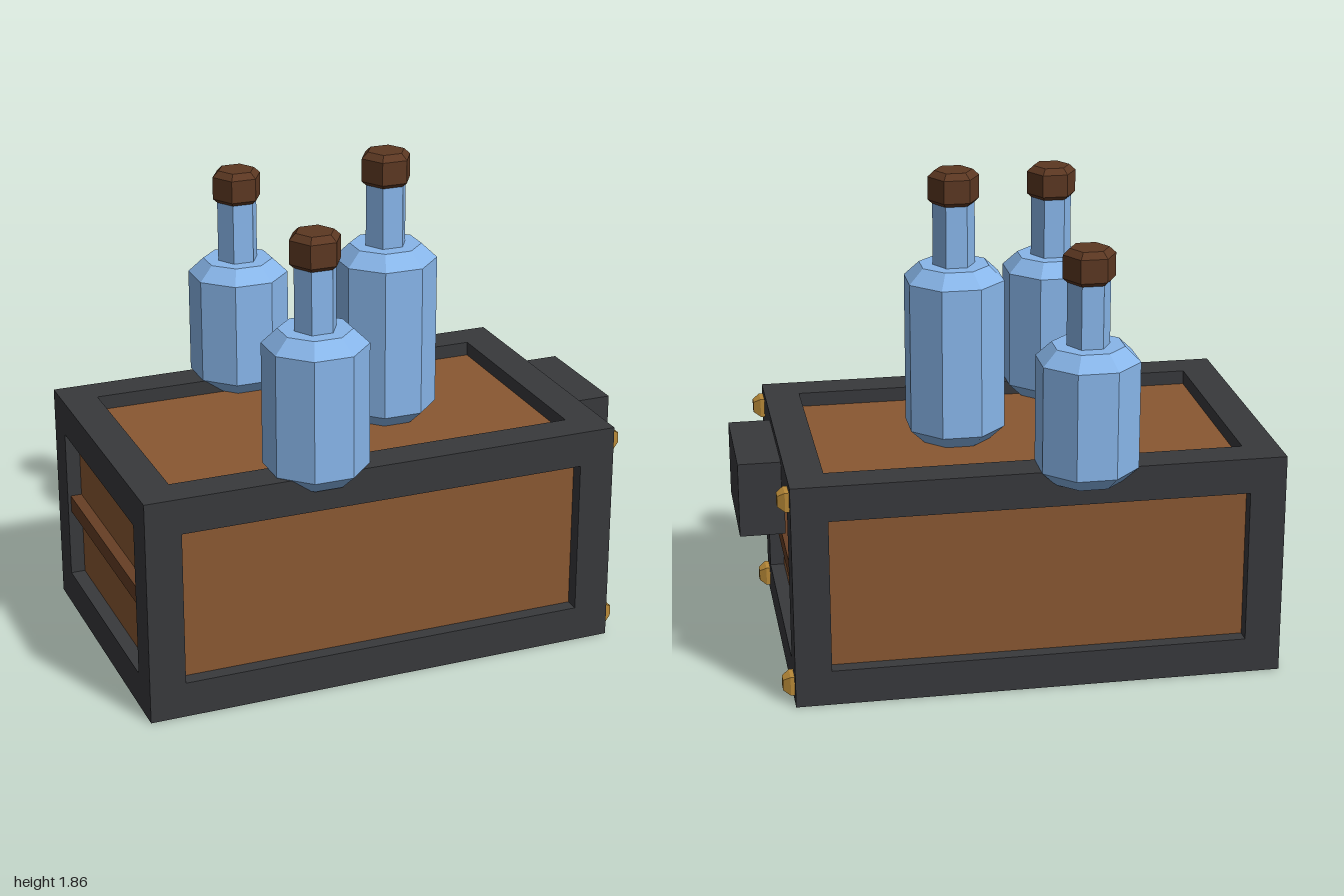
import * as THREE from 'three';

const material = (color, extra = {}) => {
  const m = new THREE.MeshStandardMaterial({ flatShading: true, ...extra });
  m.color.setHex(color);
  return m;
};

export function createModel() {
  const model = new THREE.Group();
  const iron = material(0x38393c);
  const wood = material(0x8a5832);
  const darkWood = material(0x673f25);
  const cork = material(0x5c3822);
  const gold = material(0xb98a38);
  const glass = material(0x88b6ea);

  function add(parent, name, geometry, mat, x = 0, y = 0, z = 0) {
    const mesh = new THREE.Mesh(geometry, mat);
    mesh.name = name;
    mesh.position.set(x, y, z);
    parent.add(mesh);
    return mesh;
  }
  // Box given by its lower and upper corners
  function block(parent, name, mat, a, b) {
    const size = b.map((v, i) => v - a[i]);
    const mid = b.map((v, i) => (v + a[i]) / 2);
    return add(parent, name, new THREE.BoxGeometry(...size), mat, ...mid);
  }
  // Faceted turned form with flats facing the axes or corners as set by turn
  const turned = (profile, sides, turn) => new THREE.LatheGeometry(
    profile.map(([r, y]) => new THREE.Vector2(r, y)), sides, turn);

  // Crate: inset wooden body inside an iron frame of twelve beams
  const crate = new THREE.Group();
  crate.name = 'crate';
  model.add(crate);
  const lo = [-1, 0, -0.55], hi = [0.84, 0.865, 0.602];
  const beam = 0.136, inset = 0.055;
  block(crate, 'woodenBody', wood, lo.map(v => v + inset), hi.map(v => v - inset));
  const ends = axis => [[lo[axis], lo[axis] + beam], [hi[axis] - beam, hi[axis]]];
  for (const [x0, x1] of ends(0))
    for (const [z0, z1] of ends(2))
      block(crate, 'cornerPost', iron, [x0, lo[1], z0], [x1, hi[1], z1]);
  for (const [y0, y1] of ends(1)) {
    for (const [z0, z1] of ends(2))
      block(crate, 'longRail', iron, [lo[0] + beam, y0, z0], [hi[0] - beam, y1, z1]);
    for (const [x0, x1] of ends(0))
      block(crate, 'endRail', iron, [x0, y0, lo[2] + beam], [x1, y1, hi[2] - beam]);
  }

  // Slat across each end panel
  for (const [x0, x1] of [[lo[0] + 0.012, lo[0] + 0.08], [hi[0] - 0.08, hi[0] - 0.012]])
    block(crate, 'endSlat', darkWood, [x0, 0.4, lo[2] + beam], [x1, 0.467, hi[2] - beam]);

  // Latch block on the right end
  block(crate, 'latch', iron, [0.83, 0.55, -0.204], [1, 0.837, 0.257]);

  // Square tapered studs at the corners of the latch end
  const studGeometry = turned(
    [[0.052, 0], [0.052, 0.015], [0.029, 0.042], [0, 0.042]], 4, Math.PI / 4);
  studGeometry.rotateZ(-Math.PI / 2);
  for (const y of [0.07, 0.8])
    for (const z of [-0.48, 0.537])
      add(crate, 'cornerStud', studGeometry, gold, 0.84, y, z);

  // Bottles: octagonal body, hexagonal neck and stopper; shoulder is the body top
  function bottle(x, z, shoulder) {
    const g = new THREE.Group();
    g.name = 'bottle';
    g.position.set(x, 0, z);
    model.add(g);
    add(g, 'bottleBody', turned([
      [0, 0.812], [0.136, 0.812], [0.194, 0.867],
      [0.194, shoulder - 0.055], [0.135, shoulder], [0, shoulder],
    ], 8, Math.PI / 8), glass);
    add(g, 'bottleNeck', turned([
      [0.08, shoulder - 0.02], [0.08, shoulder + 0.25],
    ], 6, Math.PI / 6), glass);
    add(g, 'stopper', turned([
      [0, 0.23], [0.075, 0.23], [0.097, 0.25],
      [0.097, 0.337], [0.072, 0.36], [0, 0.36],
    ], 6, Math.PI / 6), cork, 0, shoulder, 0);
  }
  bottle(-0.313, 0.488, 1.385);
  bottle(0.15, 0.027, 1.5);
  bottle(-0.254, -0.493, 1.328);

  return model;
}
